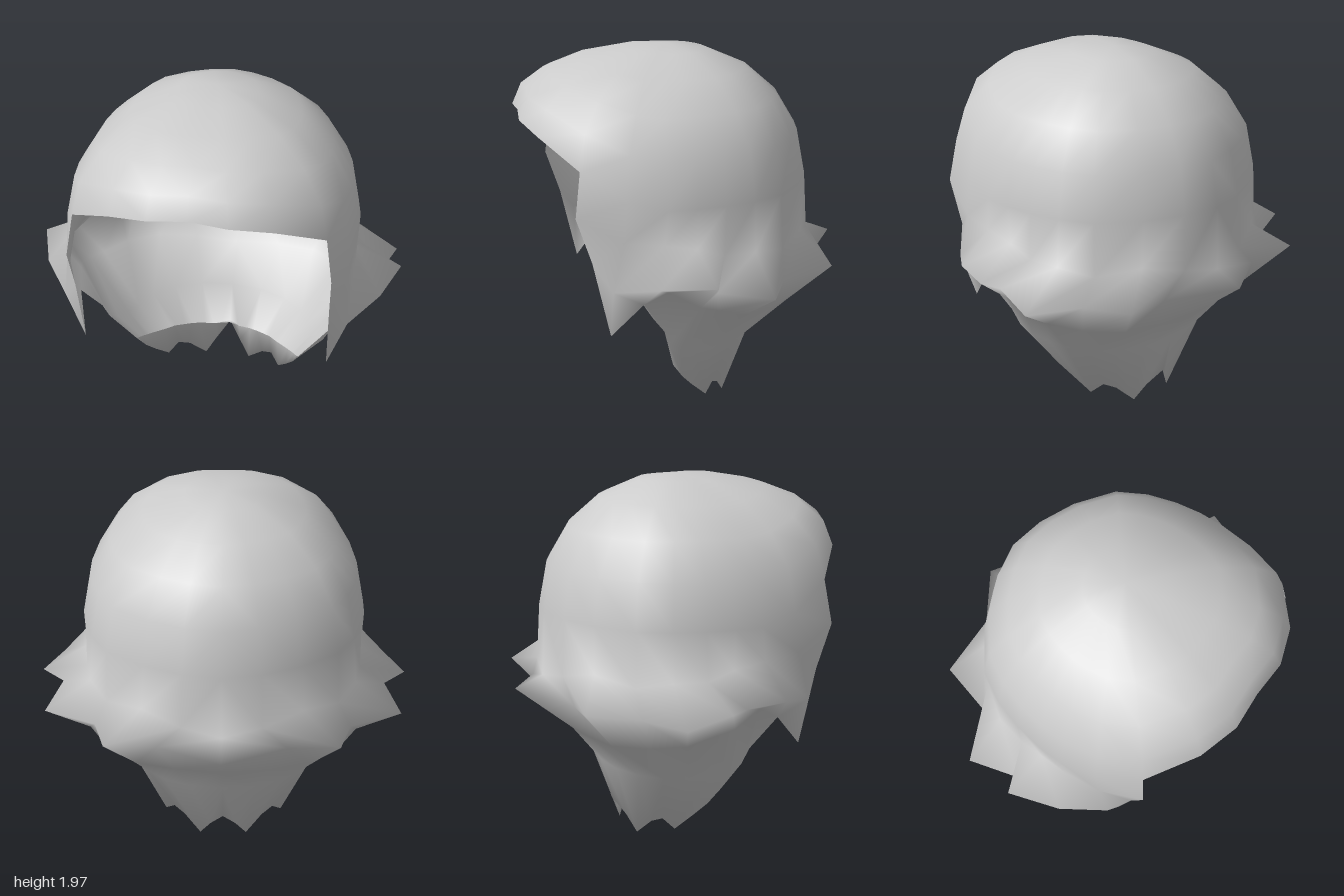
import * as THREE from 'three';
import { mergeVertices } from 'three/addons/utils/BufferGeometryUtils.js';

// Half cross-sections [x, y, z], running from the front round the left side to the back centre.
const rim = [
  [0, 1.655, 0.86], [0.2, 1.64, 0.87], [0.41, 1.6, 0.8], [0.645, 1.47, 0.62], [0.74, 1.33, 0.4],
  [0.77, 1.28, 0.2], [0.765, 1.28, 0.05], [0.74, 1.28, -0.1], [0.69, 1.28, -0.26],
  [0.6, 1.28, -0.42], [0.4, 1.28, -0.57], [0.2, 1.28, -0.66], [0, 1.28, -0.7],
];
const temple = [
  [0.68, 1.24, 0.65], [0.745, 1.12, 0.42], [0.765, 1.1, 0.22], [0.755, 1.07, 0.05], [0.745, 1.02, -0.09],
  [0.71, 1.02, -0.26], [0.61, 0.99, -0.43], [0.42, 1.03, -0.58], [0.21, 0.98, -0.675], [0, 0.94, -0.715],
];
// Alternating tips and valleys of the flicked-out locks
const flicks = [
  [0.67, 1.0, 0.57], [0.76, 0.87, 0.48], [0.91, 0.92, 0.27], [1, 0.94, 0], [0.89, 0.88, -0.02],
  [0.96, 0.85, -0.3], [0.68, 0.84, -0.42], [0.61, 0.88, -0.7], [0.34, 0.85, -0.66], [0, 0.88, -0.87],
];
// Sideburn tip first, then the underside of the locks
const underside = [
  [0.66, 0.6, 0.48], [0.72, 0.78, 0.32], [0.75, 0.85, 0.2], [0.79, 0.77, 0.04], [0.77, 0.74, -0.06],
  [0.73, 0.69, -0.2], [0.63, 0.67, -0.36], [0.46, 0.65, -0.5], [0.25, 0.64, -0.54], [0, 0.62, -0.55],
];
const nape = [
  [0.64, 0.6, 0.2], [0.61, 0.51, 0.17], [0.58, 0.46, 0.1], [0.54, 0.44, 0.02], [0.5, 0.42, -0.08],
  [0.44, 0.42, -0.2], [0.33, 0.42, -0.3], [0.18, 0.42, -0.37], [0, 0.42, -0.39],
];
const napeTips = [
  [0.47, 0.33, 0.12], [0.43, 0.24, 0.06], [0.385, 0.17, 0], [0.33, 0.08, -0.09], [0.28, 0.13, -0.14],
  [0.22, 0.1, -0.18], [0.13, 0.01, -0.23], [0.07, 0.1, -0.27], [0, 0.19, -0.33],
];
// Inward fold above the nape tips
const napeFold = [
  [0.46, 0.335, 0.12], [0.44, 0.335, 0.1], [0.4, 0.33, 0.06], [0.33, 0.325, 0], [0.28, 0.32, -0.05],
  [0.2, 0.31, -0.1], [0.15, 0.3, -0.13], [0.07, 0.24, -0.22], [0, 0.19, -0.31],
];

const LAST = rim.length - 1;

// Skins the half rows and their mirror; short rows are aligned at the back
function skin(rows) {
  const positions = [];
  const point = (r, c) => {
    const p = rows[r][Math.abs(c) - (LAST + 1 - rows[r].length)];
    return p && [Math.sign(c) * p[0], p[1], p[2]];
  };
  for (let r = 0; r < rows.length - 1; r++) {
    for (let c = -LAST; c < LAST; c++) {
      const a = point(r, c), b = point(r, c + 1), d = point(r + 1, c), e = point(r + 1, c + 1);
      if (!a || !b || !d || !e) continue;
      const corners = c >= 0 ? [a, d, b, b, d, e] : [a, d, e, a, e, b];
      positions.push(...corners.flat());
    }
  }
  const loose = new THREE.BufferGeometry();
  loose.setAttribute('position', new THREE.Float32BufferAttribute(positions, 3));
  const geometry = mergeVertices(loose, 1e-4);
  geometry.computeVertexNormals();
  return geometry;
}

// Elliptical dome rows from the crown down to the rim
function domeRows() {
  const crown = [0, 1.98, 0.06];
  return [0, 0.28, 0.6, 0.91, 1.22, Math.PI / 2].map((t) => rim.map(([x, y, z]) => [
    x * Math.sin(t),
    y + (crown[1] - y) * Math.cos(t),
    crown[2] + (z - crown[2]) * Math.sin(t),
  ]));
}

export function createModel() {
  const group = new THREE.Group();
  group.name = 'hair';
  const material = new THREE.MeshStandardMaterial({ color: 0xcccccc, side: THREE.DoubleSide });
  // Crown, fringe, flicked locks, tapering nape and its fold in one smooth shell
  const rows = [...domeRows(), temple, flicks, underside, nape, napeTips, napeFold];
  const shell = new THREE.Mesh(skin(rows), material);
  shell.name = 'hairShell';
  group.add(shell);
  return group;
}
